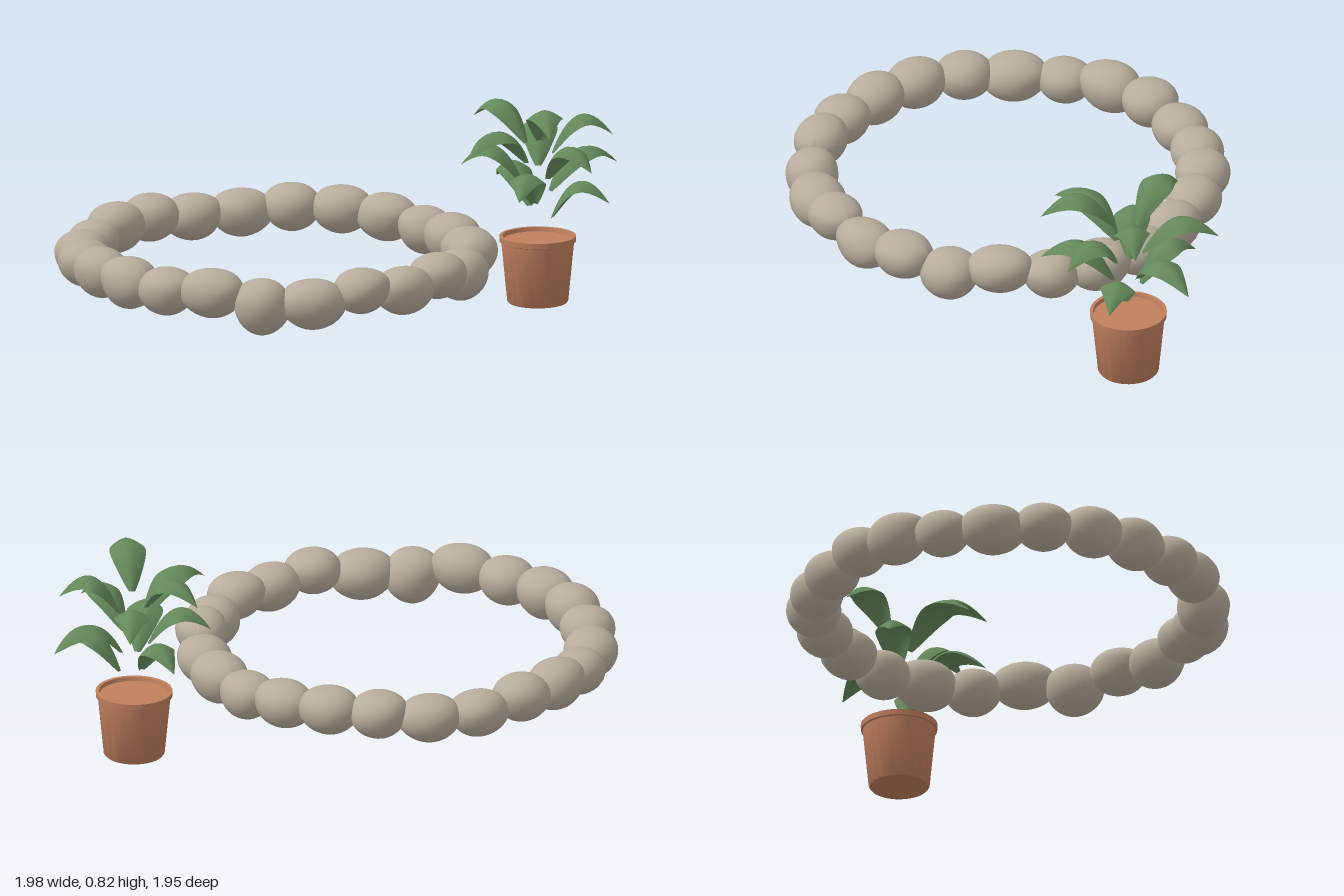
import * as THREE from 'three';
import { toCreasedNormals } from 'three/addons/utils/BufferGeometryUtils.js';

const mat = (name, color, side = THREE.FrontSide) => {
  const m = new THREE.MeshStandardMaterial({ color, side });
  m.name = name;
  return m;
};

// Pebble: broad, flattened top and a belly tapering to a rounded bottom
function stoneGeometry(length, depth, top, bottom, seed) {
  const g = new THREE.SphereGeometry(1, 28, 20);
  const p = g.attributes.position;
  const belly = bottom + (top - bottom) * 0.56;
  for (let i = 0; i < p.count; i++) {
    const x = p.getX(i), y = p.getY(i), z = p.getZ(i);
    const r = Math.hypot(x, z);
    const spread = r > 1e-5 ? Math.pow(r, y > 0 ? 0.85 : 1.05) / r : 1;
    const wobble = 1 + 0.035 * Math.sin(2.3 * x + 1.7 * y + seed * 2.1) * Math.cos(2.1 * z + seed);
    const tilt = 0.012 * x * Math.sin(seed * 1.9) * (1 - Math.abs(y));
    p.setXYZ(i,
      x * spread * length * wobble,
      belly + y * (y > 0 ? top - belly : belly - bottom) + tilt,
      z * spread * depth * wobble);
  }
  g.computeVertexNormals();
  return g;
}

// Arched leaf: pointed blade with a rounded, roof-like cross-section
function leafGeometry(reach, tipY) {
  const g = new THREE.PlaneGeometry(2, 1, 8, 14);
  const p = g.attributes.position;
  const root = 0.055;
  const arc = new THREE.QuadraticBezierCurve(
    new THREE.Vector2(root, tipY - 0.07),
    new THREE.Vector2(root + 0.42 * (reach - root), tipY + 0.2),
    new THREE.Vector2(reach, tipY));
  for (let i = 0; i < p.count; i++) {
    const s = p.getX(i), t = p.getY(i) + 0.5;
    const c = arc.getPoint(t), d = arc.getTangent(t);
    const w = 0.012 * (1 - t) + 0.066 * Math.pow(Math.sin(Math.PI * Math.pow(t, 0.95)), 0.85);
    const drop = 0.5 * w * Math.pow(Math.abs(s), 1.6);
    p.setXYZ(i, c.x + d.y * drop, c.y - d.x * drop, s * w);
  }
  g.computeVertexNormals();
  return g;
}

export function createModel() {
  const model = new THREE.Group();
  model.name = 'stoneRingAndPlant';
  const stone = mat('stone', 0xb8ad9c);
  const clay = mat('terracotta', 0xc07f5e);
  const green = mat('leafGreen', 0x64885a, THREE.DoubleSide);

  // Ring of stones, clockwise from the back: [top, bottom]
  const heights = [
    [0.4, 0.21], [0.39, 0.2], [0.37, 0.18], [0.38, 0.18], [0.37, 0.185], [0.405, 0.22],
    [0.375, 0.17], [0.4, 0.22], [0.38, 0.19], [0.4, 0.22], [0.37, 0.17], [0.375, 0.15],
    [0.405, 0.21], [0.39, 0.2], [0.4, 0.195], [0.4, 0.2], [0.385, 0.2], [0.375, 0.18],
    [0.37, 0.19], [0.4, 0.2], [0.4, 0.21], [0.375, 0.19], [0.38, 0.19], [0.4, 0.21]];
  const ring = new THREE.Group();
  ring.name = 'stoneRing';
  ring.position.set(-0.118, 0, 0.108);
  heights.forEach(([top, bottom], i) => {
    const a = (i / heights.length) * Math.PI * 2;
    const length = 0.122 + 0.01 * Math.sin(i * 2.7);
    const depth = 0.106 + 0.004 * Math.cos(i * 1.9);
    const m = new THREE.Mesh(stoneGeometry(length, depth, top, bottom, i), stone);
    m.name = 'stone' + (i + 1);
    m.position.set(0.764 * Math.sin(a), 0, -0.764 * Math.cos(a));
    m.rotation.y = -a;
    ring.add(m);
  });
  model.add(ring);

  const plant = new THREE.Group();
  plant.name = 'pottedPlant';
  plant.position.set(0.702, 0, -0.641);
  model.add(plant);

  // Pot with a slim rim and a recessed top
  const profile = [[0, 0], [0.114, 0], [0.12, 0.008], [0.143, 0.243], [0.15, 0.246],
    [0.151, 0.268], [0.138, 0.268], [0.135, 0.252], [0, 0.252]]
    .map(([x, y]) => new THREE.Vector2(x, y));
  const pot = new THREE.Mesh(toCreasedNormals(new THREE.LatheGeometry(profile, 40), 0.6), clay);
  pot.name = 'pot';
  plant.add(pot);

  // Leaves spiral down from the top at the golden angle
  const reaches = [0.35, 0.325, 0.295, 0.39, 0.355, 0.325, 0.305, 0.385, 0.35, 0.315, 0.295];
  reaches.forEach((reach, i) => {
    const leaf = new THREE.Mesh(leafGeometry(reach, 0.735 - 0.032 * i), green);
    leaf.name = 'leaf' + (i + 1);
    leaf.rotation.y = -THREE.MathUtils.degToRad(62.5 + 137.5 * i);
    plant.add(leaf);
  });

  return model;
}
